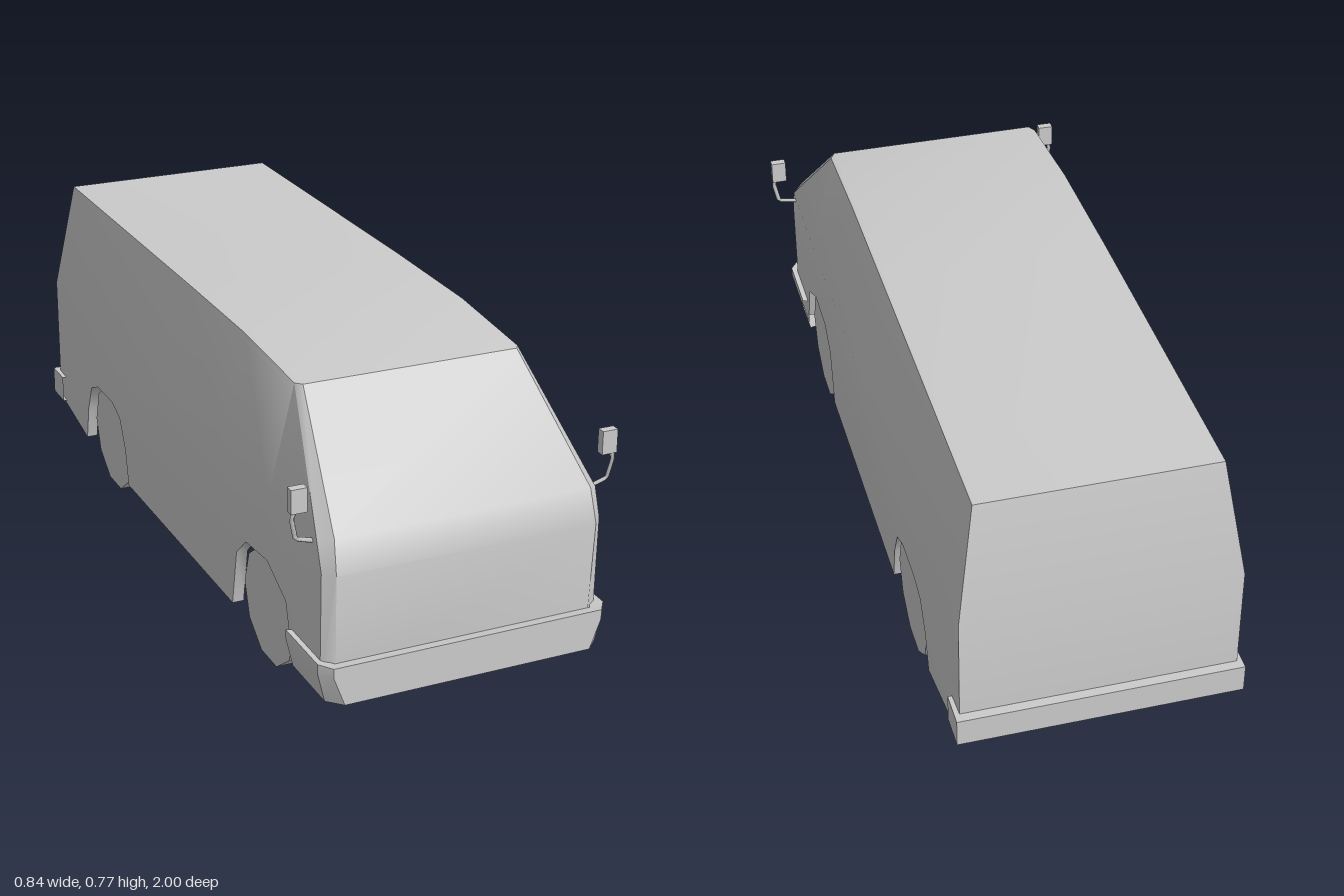
import * as THREE from 'three';
import { toCreasedNormals } from 'three/addons/utils/BufferGeometryUtils.js';

const grey = new THREE.MeshStandardMaterial({ color: 0xcccccc });
const greyThin = new THREE.MeshStandardMaterial({ color: 0xcccccc, side: THREE.DoubleSide });

// Half width of the body flank, narrowing slightly towards the tail
const flankX = (z) => 0.36 - Math.max(0, -z - 0.6) * 0.04;

function pushTri(out, a, b, c, flip) {
  out.push(...a, ...(flip ? c : b), ...(flip ? b : c));
}

// Skin a grid of points (rows of equal length)
function pushGrid(out, rows, flip = false) {
  for (let r = 0; r < rows.length - 1; r++) {
    for (let c = 0; c < rows[r].length - 1; c++) {
      const [a, b] = [rows[r][c], rows[r][c + 1]];
      const [d, e] = [rows[r + 1][c], rows[r + 1][c + 1]];
      pushTri(out, a, b, e, flip);
      pushTri(out, a, e, d, flip);
    }
  }
}

function skinMesh(name, points, crease) {
  const geo = new THREE.BufferGeometry();
  geo.setAttribute('position', new THREE.Float32BufferAttribute(points, 3));
  const mesh = new THREE.Mesh(toCreasedNormals(geo, crease), greyThin);
  mesh.name = name;
  return mesh;
}

// Wheel arch edges in (z, y), front to back
const frontArch = [[0.78, 0.13], [0.75, 0.235], [0.64, 0.29], [0.51, 0.28], [0.45, 0.225], [0.42, 0.07]];
const rearArch = [[-0.34, 0.07], [-0.36, 0.17], [-0.4, 0.25], [-0.46, 0.275],
  [-0.58, 0.275], [-0.64, 0.25], [-0.68, 0.17], [-0.705, 0.07]];

function makeBody() {
  const out = [];
  // Nose, windscreen, roof and tail: inner z, y, x then outer z, y, x
  const stations = [
    [0.965, 0.1, 0.33, 0.945, 0.1, flankX(0.945)],
    [0.977, 0.4, 0.335, 0.95, 0.4, flankX(0.95)],
    [0.953, 0.483, 0.33, 0.925, 0.47, flankX(0.925)],
    [0.67, 0.74, 0.28, 0.65, 0.738, 0.293],
    [0.36, 0.763, 0.285, 0.36, 0.761, 0.296],
    [0, 0.767, 0.286, 0, 0.765, 0.297],
    [-0.92, 0.765, 0.286, -0.92, 0.765, 0.297],
    [-0.975, 0.46, 0.335, -0.975, 0.46, flankX(-0.975)],
    [-0.975, 0.1, 0.33, -0.975, 0.1, flankX(-0.975)],
  ];
  pushGrid(out, stations.map(([zi, yi, xi, zo, yo, xo]) =>
    [[-xo, yo, zo], [-xi, yi, zi], [xi, yi, zi], [xo, yo, zo]]));

  // Flanks: sloping upper panel, then lower panel with wheel cut-outs
  const top = stations.slice(2, 8).map((s) => s.slice(3));
  const waist = top.map(([z], i) => [z, i === 0 ? 0.47 : 0.46]);
  const outline = [...frontArch, ...rearArch, [-0.975, 0.1],
    ...waist.slice().reverse(), [0.95, 0.4], [0.945, 0.1], [0.78, 0.1]]
    .map(([z, y]) => new THREE.Vector2(z, y));
  const lower = new THREE.ShapeGeometry(new THREE.Shape(outline));
  const pos = lower.attributes.position;
  for (const s of [1, -1]) {
    pushGrid(out, [
      waist.map(([z, y]) => [s * flankX(z), y, z]),
      top.map(([z, y, x]) => [s * x, y, z]),
    ], s < 0);
    const at = (i) => [s * flankX(pos.getX(i)), pos.getY(i), pos.getX(i)];
    const idx = lower.index.array;
    for (let i = 0; i < idx.length; i += 3) {
      pushTri(out, at(idx[i]), at(idx[i + 1]), at(idx[i + 2]), s > 0);
    }
  }
  return skinMesh('bodyShell', out, 0.6);
}

// Narrow lips turned inward around the wheel openings
function makeArchLips() {
  const out = [];
  for (const s of [1, -1]) {
    for (const arch of [frontArch, rearArch]) {
      pushGrid(out, [0, 0.03].map((d) =>
        arch.map(([z, y]) => [s * (flankX(z) - d), y, z])), s < 0);
    }
  }
  return skinMesh('wheelArchLips', out, 0.8);
}

// Front bumper wraps the nose with chamfered corners and tucks in below
function makeFrontBumper() {
  const levels = [ // y, side x, front x, inset
    [0.085, 0.357, 0.322, 0.03], [0.08, 0.357, 0.322, 0], [0.155, 0.375, 0.35, 0],
    [0.18, 0.375, 0.35, 0], [0.175, 0.375, 0.35, 0.03],
  ];
  const out = [];
  pushGrid(out, levels.map(([y, sx, fx, d]) => {
    const half = [[sx - d, y, 0.785], [sx - d, y, 0.965 - d / 2], [fx - d / 2, y, 1 - d]];
    return [...half.map(([x, h, z]) => [-x, h, z]), ...half.reverse()];
  }));
  return skinMesh('frontBumper', out, 0.5);
}

// Rear bumper: square U-shaped channel
function makeRearBumper() {
  const out = [];
  const levels = [[0.105, 0.03], [0.105, 0], [0.18, 0], [0.18, 0.03]];
  pushGrid(out, levels.map(([y, d]) => {
    const x = 0.358 - d, z = -1 + d;
    return [[x, y, -0.912], [x, y, z], [-x, y, z], [-x, y, -0.912]];
  }));
  return skinMesh('rearBumper', out, 0.5);
}

function makeWheel(name, side, z) {
  const geo = new THREE.CylinderGeometry(0.15, 0.15, 0.078, 10).rotateZ(Math.PI / 2);
  const wheel = new THREE.Mesh(geo, grey);
  wheel.name = name;
  wheel.position.set(side * 0.305, 0.1427, z);
  return wheel;
}

// Door mirror on a bent arm
function makeMirror(name, side) {
  const mirror = new THREE.Group();
  mirror.name = name;
  const path = new THREE.CurvePath();
  const pts = [[0.352, 0.458, 0.9], [0.404, 0.47, 0.895], [0.416, 0.525, 0.9], [0.402, 0.55, 0.9]]
    .map(([x, y, z]) => new THREE.Vector3(side * x, y, z));
  for (let i = 0; i < 3; i++) path.add(new THREE.LineCurve3(pts[i], pts[i + 1]));
  const arm = new THREE.Mesh(new THREE.TubeGeometry(path, 12, 0.006, 4), grey);
  arm.name = 'mirrorArm';
  const head = new THREE.Mesh(new THREE.BoxGeometry(0.04, 0.06, 0.022), grey);
  head.name = 'mirrorHead';
  head.position.set(side * 0.4, 0.568, 0.897);
  mirror.add(arm, head);
  return mirror;
}

export function createModel() {
  const van = new THREE.Group();
  van.name = 'van';
  const shell = new THREE.Group();
  shell.name = 'body';
  shell.position.x = -0.005;
  shell.add(makeBody(), makeArchLips(), makeFrontBumper(), makeRearBumper());
  van.add(shell);
  for (const [label, s] of [['Left', 1], ['Right', -1]]) {
    van.add(makeWheel('front' + label + 'Wheel', s, 0.6));
    van.add(makeWheel('rear' + label + 'Wheel', s, -0.515));
    van.add(makeMirror('mirror' + label, s));
  }
  return van;
}
